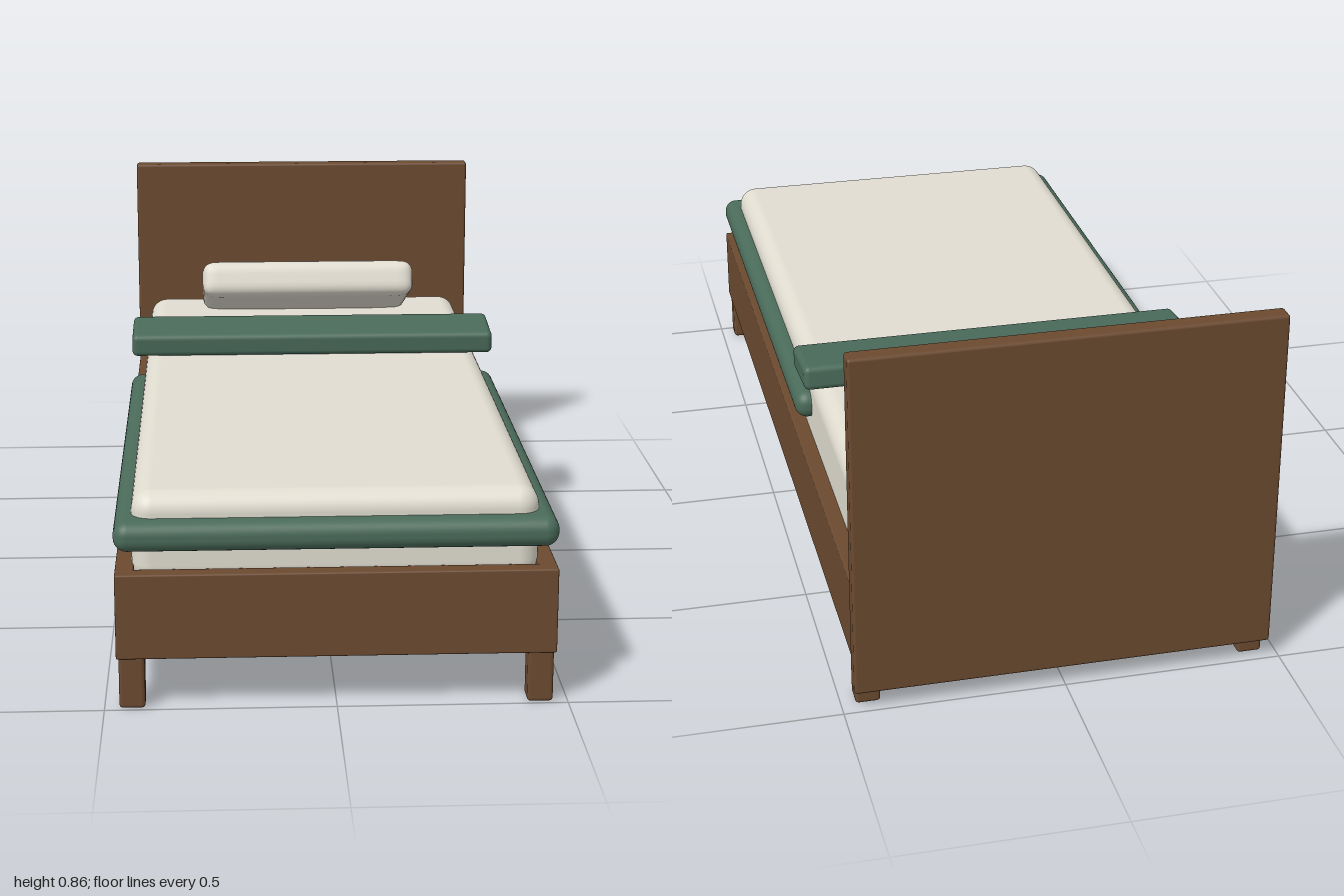
import * as THREE from 'three';
import { RoundedBoxGeometry } from 'three/addons/geometries/RoundedBoxGeometry.js';
import { mergeVertices } from 'three/addons/utils/BufferGeometryUtils.js';

const material = (color) => new THREE.MeshStandardMaterial({ color });

// Rounded box given by its [min, max] range on each axis
function block(name, [x0, x1], [y0, y1], [z0, z1], radius, mat, segments = 2) {
  const geometry = new RoundedBoxGeometry(x1 - x0, y1 - y0, z1 - z0, segments, radius);
  const mesh = new THREE.Mesh(geometry, mat);
  mesh.name = name;
  mesh.position.set((x0 + x1) / 2, (y0 + y1) / 2, (z0 + z1) / 2);
  return mesh;
}

// Soft box: rounded edges, thinning slightly towards its rim
function cushionGeometry(w, h, d, r, thinning) {
  let g = new THREE.BoxGeometry(2, 2, 2, 28, 12, 20);
  g.deleteAttribute('uv');
  g.deleteAttribute('normal');
  g = mergeVertices(g);
  const half = new THREE.Vector3(w / 2, h / 2, d / 2);
  const core = half.clone().subScalar(r);
  const pos = g.attributes.position;
  const p = new THREE.Vector3();
  const inner = new THREE.Vector3();
  for (let i = 0; i < pos.count; i++) {
    p.fromBufferAttribute(pos, i);
    // crowd the grid towards the edges
    p.set(Math.sin(p.x * Math.PI / 2), Math.sin(p.y * Math.PI / 2), Math.sin(p.z * Math.PI / 2)).multiply(half);
    inner.copy(p).clamp(core.clone().negate(), core);
    p.sub(inner).setLength(r).add(inner);
    const u = p.x / half.x, v = p.z / half.z;
    p.y *= 1 - thinning * Math.max(u ** 4, v ** 4);
    pos.setXYZ(i, p.x, p.y, p.z);
  }
  g.computeVertexNormals();
  return g;
}

export function createModel() {
  const bed = new THREE.Group();
  bed.name = 'bed';
  const wood = material(0x6b4a30);
  const darkWood = material(0x4a3422);
  const linen = material(0xe0dcd0);
  const green = material(0x4a6b5a);

  // Wooden frame
  const frame = new THREE.Group();
  frame.name = 'frame';
  const railY = [0.115, 0.305];
  frame.add(
    block('headboard', [-0.475, 0.475], [0.045, 0.855], [-1, -0.955], 0.007, wood),
    block('footRail', [-0.473, 0.473], railY, [0.96, 1], 0.004, wood),
    block('platform', [-0.44, 0.44], [0.225, 0.275], [-0.96, 0.965], 0.003, darkWood),
  );
  for (const [side, s] of [['left', 1], ['right', -1]]) {
    const rail = block(side + 'Rail', [-0.02, 0.02], railY, [-0.96, 0.99], 0.004, wood);
    rail.position.x = s * 0.453;
    frame.add(rail);
    for (const [end, z] of [['Front', 0.966], ['Back', -0.942]]) {
      const leg = block(side + end + 'Leg', [-0.028, 0.028], [0, 0.125], [z - 0.027, z + 0.027], 0.008, wood);
      leg.position.x = s * 0.44;
      frame.add(leg);
    }
  }
  bed.add(frame);

  // Bedding
  const bedding = new THREE.Group();
  bedding.name = 'bedding';
  bedding.add(
    block('mattress', [-0.438, 0.438], [0.262, 0.468], [-0.955, 0.953], 0.045, linen, 6),
    block('blanket', [-0.475, 0.475], [0.348, 0.415], [-0.285, 0.995], 0.03, green, 6),
  );

  // Folded top of the blanket, raised at its head end
  const fold = block('blanketFold', [-0.471, 0.471], [0.476, 0.534], [-0.397, -0.229], 0.014, green, 4);
  fold.rotation.x = 0.1;
  bedding.add(fold);

  // Pillow, tipped so its front edge is higher
  const pillow = new THREE.Mesh(cushionGeometry(0.575, 0.105, 0.345, 0.03, 0.15), linen);
  pillow.name = 'pillow';
  pillow.position.set(0, 0.554, -0.69);
  pillow.rotation.x = -0.35;
  bedding.add(pillow);

  bed.add(bedding);
  return bed;
}
